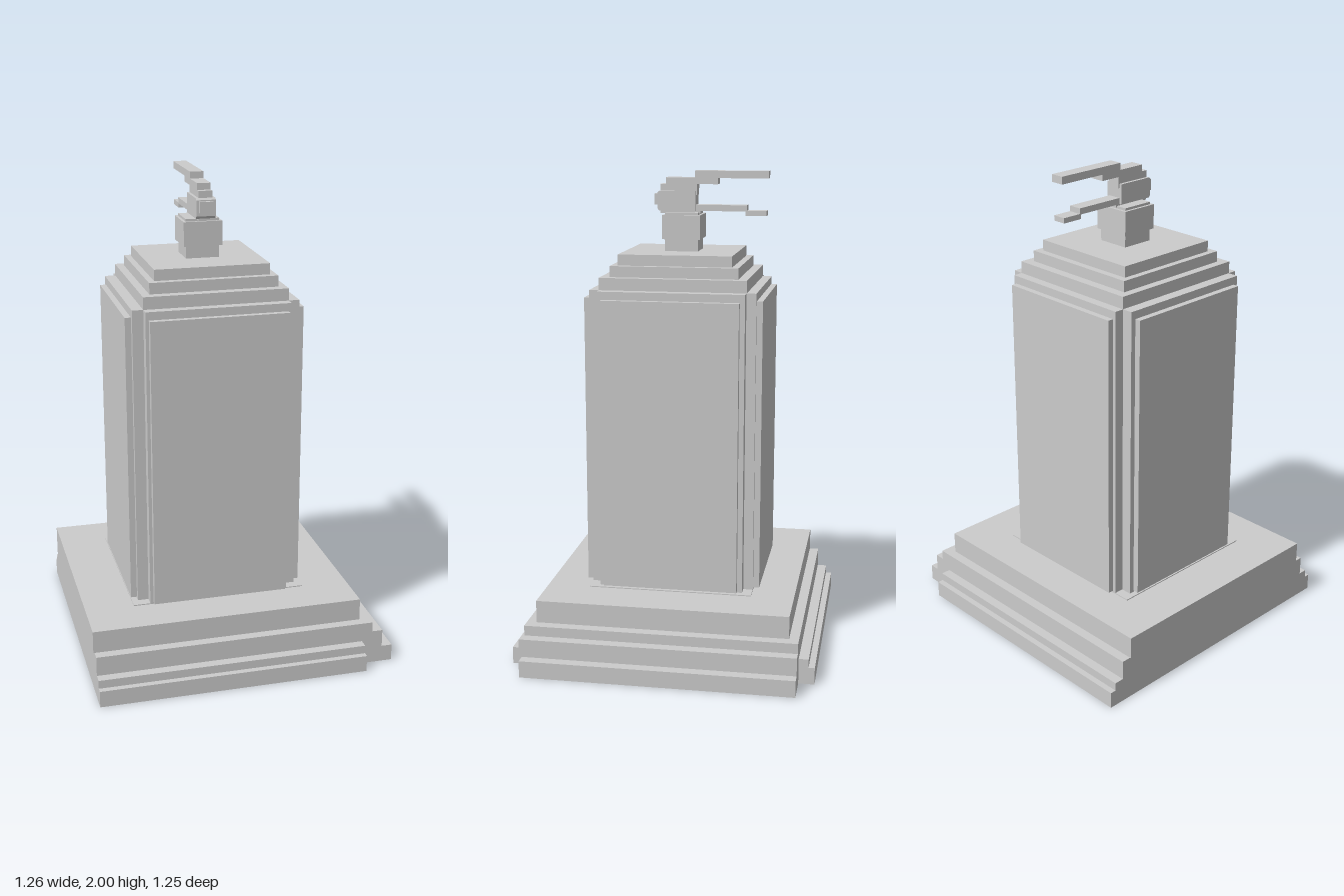
import * as THREE from 'three';

const grey = new THREE.MeshStandardMaterial({ color: 0xcccccc, flatShading: true });
const CX = -0.068; // the body stands off-centre on its base

export function createModel() {
  const model = new THREE.Group();

  // Box given by its lower and upper limits on each axis
  const block = (name, x0, x1, y0, y1, z0, z1) => {
    const mesh = new THREE.Mesh(new THREE.BoxGeometry(x1 - x0, y1 - y0, z1 - z0), grey);
    mesh.position.set((x0 + x1) / 2, (y0 + y1) / 2, (z0 + z1) / 2);
    mesh.name = name;
    model.add(mesh);
  };
  // Box centred on the body's axis, by half widths
  const centred = (name, hx, hz, y0, y1) => block(name, CX - hx, CX + hx, y0, y1, -hz, hz);

  // Side profile of [z, y] points, extruded across x
  const profile = (name, halfWidth, points) => {
    const shape = new THREE.Shape(points.map(([z, y]) => new THREE.Vector2(-z, y)));
    const geo = new THREE.ExtrudeGeometry(shape, { depth: halfWidth * 2, bevelEnabled: false });
    geo.translate(0, 0, -halfWidth);
    geo.rotateY(Math.PI / 2);
    const mesh = new THREE.Mesh(geo, grey);
    mesh.position.x = CX + 0.006;
    mesh.name = name;
    model.add(mesh);
  };

  // Stepped base: ledges on the front, back and left, sheer on the right
  block('baseTop', -0.635, 0.495, 0.187, 0.28, -0.52, 0.52);
  block('baseCore', -0.63, 0.495, 0, 0.187, -0.56, 0.56);
  block('baseMiddleLedge', -0.63, 0.495, 0.07, 0.105, -0.6, 0.6);
  block('baseLowerLedge', -0.63, 0.495, 0, 0.07, -0.625, 0.625);
  [[0.54, 0.145, 0.187], [0.585, 0.07, 0.145], [0.63, 0, 0.07]].forEach(([x, y0, y1]) =>
    block('baseSideStep', 0.49, x, y0, y1, -0.56, 0.56));
  centred('bodyFootPlate', 0.365, 0.342, 0.28, 0.284);

  // Cross-shaped body with a raised panel on each side
  centred('bodyDepth', 0.295, 0.342, 0.28, 1.53);
  centred('bodyWidth', 0.34, 0.302, 0.28, 1.53);
  centred('frontAndBackPanels', 0.282, 0.367, 0.29, 1.497);
  centred('sidePanels', 0.365, 0.281, 0.29, 1.497);

  // Stepped shoulders
  [[0.295, 0.303, 1.53, 1.58], [0.262, 0.264, 1.58, 1.625], [0.236, 0.235, 1.625, 1.67]]
    .forEach((s) => centred('shoulderStep', ...s));

  // Neck and collar
  centred('neck', 0.069, 0.069, 1.67, 1.83);
  centred('collar', 0.08, 0.08, 1.72, 1.82);

  // Valve body and nozzle
  profile('valveBody', 0.04, [
    [-0.055, 1.835], [0.098, 1.835], [0.105, 1.845], [0.105, 1.91], [0.098, 1.917], [-0.055, 1.917],
  ]);
  profile('nozzle', 0.029, [[0.05, 1.86], [0.12, 1.86], [0.12, 1.905], [0.05, 1.905]]);

  // Upper lever, stepping up and back from the valve
  profile('upperLever', 0.028, [
    [0.095, 1.9], [0.095, 1.945], [0.07, 1.945], [0.07, 1.972], [-0.05, 1.972], [-0.05, 2],
    [-0.357, 2], [-0.357, 1.97], [-0.147, 1.97], [-0.147, 1.945], [-0.06, 1.945], [-0.06, 1.9],
  ]);

  // Lower handle with a dropped tip
  profile('lowerHandle', 0.028, [
    [0.095, 1.825], [0.095, 1.86], [-0.268, 1.86], [-0.268, 1.838], [-0.35, 1.838],
    [-0.35, 1.817], [-0.262, 1.817], [-0.262, 1.835], [-0.075, 1.835], [-0.075, 1.825],
  ]);

  return model;
}
